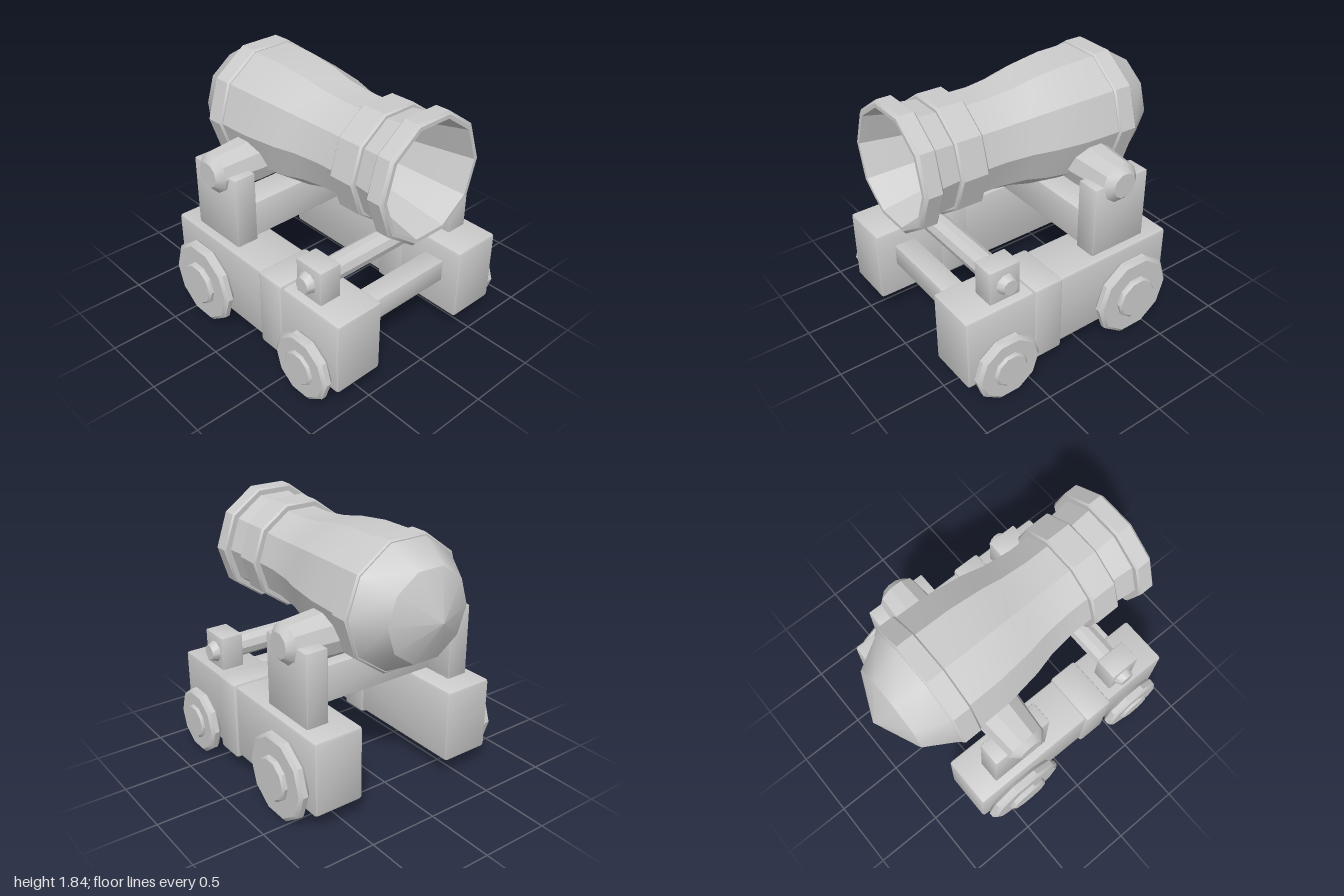
import * as THREE from 'three';
import { toCreasedNormals } from 'three/addons/utils/BufferGeometryUtils.js';
import { RoundedBoxGeometry } from 'three/addons/geometries/RoundedBoxGeometry.js';

const material = new THREE.MeshStandardMaterial({ color: 0xcccccc });
const CREASE = 0.6;

function add(parent, name, geometry) {
  const mesh = new THREE.Mesh(toCreasedNormals(geometry, CREASE), material);
  mesh.name = name;
  parent.add(mesh);
  return mesh;
}

// Ten-sided turned shape; the profile is a list of [radius, position along axis]
function turned(profile) {
  return new THREE.LatheGeometry(profile.map(([r, a]) => new THREE.Vector2(r, a)), 10);
}

// Bevelled box given by its extents
function block(parent, name, [x0, x1], [y0, y1], [z0, z1], bevel = 0.015) {
  const mesh = add(parent, name, new RoundedBoxGeometry(x1 - x0, y1 - y0, z1 - z0, 1, bevel));
  mesh.position.set((x0 + x1) / 2, (y0 + y1) / 2, (z0 + z1) / 2);
  return mesh;
}

// Turned shape lying along x
function axle(parent, name, profile, x, y, z) {
  const mesh = add(parent, name, turned(profile).rotateZ(-Math.PI / 2));
  mesh.position.set(x, y, z);
  return mesh;
}

function wheel(parent, name, r, hub, y, z, hubOut) {
  const b = 0.025;
  axle(parent, name, [
    [0, 0], [r - b, 0], [r, b], [r, 0.06], [r - b, 0.08],
    [hub, 0.08], [hub, hubOut - 0.015], [hub - 0.015, hubOut], [0, hubOut],
  ], 0.75, y, z);
}

function side(name) {
  const g = new THREE.Group();
  g.name = name;
  block(g, 'sideBeam', [0.37, 0.742], [0.14, 0.68], [-0.72, 0.96], 0.02);
  block(g, 'beamBand', [0.36, 0.765], [0.12, 0.7], [0.22, 0.445], 0.02);
  block(g, 'trunnionPost', [0.515, 0.68], [0.64, 1.2], [-0.55, -0.1], 0.008);
  block(g, 'rodBracket', [0.515, 0.68], [0.64, 0.925], [0.505, 0.735], 0.008);
  wheel(g, 'rearWheel', 0.308, 0.16, 0.3, -0.38, 0.115);
  wheel(g, 'frontWheel', 0.245, 0.128, 0.235, 0.69, 0.1);
  return g;
}

// Mirrored copy made by reflecting positions and reversing the corner order
function mirrored(source, name) {
  const g = new THREE.Group();
  g.name = name;
  for (const part of source.children) {
    const geo = part.geometry.clone();
    for (const key of ['position', 'normal']) {
      const a = geo.attributes[key];
      for (let i = 0; i < a.count; i += 3) {
        const t = [0, 2, 1].map((k) => [-a.getX(i + k), a.getY(i + k), a.getZ(i + k)]);
        t.forEach((v, k) => a.setXYZ(i + k, ...v));
      }
    }
    const mesh = new THREE.Mesh(geo, material);
    mesh.name = part.name;
    mesh.position.copy(part.position);
    mesh.position.x *= -1;
    g.add(mesh);
  }
  return g;
}

export function createModel() {
  const model = new THREE.Group();
  model.name = 'cannon';

  // Carriage sides with wheels
  const left = side('leftCarriage');
  model.add(left, mirrored(left, 'rightCarriage'));

  // Cross members
  block(model, 'frontCrossBeam', [-0.4, 0.4], [0.39, 0.55], [0.66, 0.82], 0.005);
  block(model, 'rearCrossBeam', [-0.54, 0.54], [0.69, 0.955], [-0.34, -0.12], 0.005);
  axle(model, 'frontRod', [
    [0, -0.73], [0.055, -0.73], [0.077, -0.68], [0.085, -0.4],
    [0.085, 0.4], [0.077, 0.68], [0.055, 0.73], [0, 0.73],
  ], 0, 0.795, 0.61);
  axle(model, 'trunnion', [
    [0, -0.735], [0.09, -0.735], [0.145, -0.685], [0.17, -0.4],
    [0.17, 0.4], [0.145, 0.685], [0.09, 0.735], [0, 0.735],
  ], -0.01, 1.185, -0.31);

  // Barrel: domed breech, swelling body, two muzzle rings and a tapering bore
  const barrel = add(model, 'barrel', turned([
    [0, -1], [0.32, -0.86], [0.45, -0.645],
    [0.458, -0.645], [0.47, -0.633], [0.47, -0.512], [0.458, -0.5], [0.453, -0.5],
    [0.447, -0.25], [0.412, 0], [0.375, 0.15], [0.352, 0.35], [0.353, 0.51],
    [0.387, 0.51], [0.4, 0.523], [0.4, 0.697], [0.387, 0.71], [0.368, 0.71],
    [0.385, 0.86], [0.423, 0.86], [0.435, 0.872], [0.435, 0.97], [0.415, 0.988],
    [0.388, 0.988], [0.262, 0.4], [0.262, -0.45], [0.18, -0.68], [0, -0.78],
  ]).rotateY(Math.PI / 2).rotateX(Math.PI / 2));
  barrel.position.set(-0.013, 1.405, 0);
  barrel.rotation.x = -0.025;

  return model;
}
